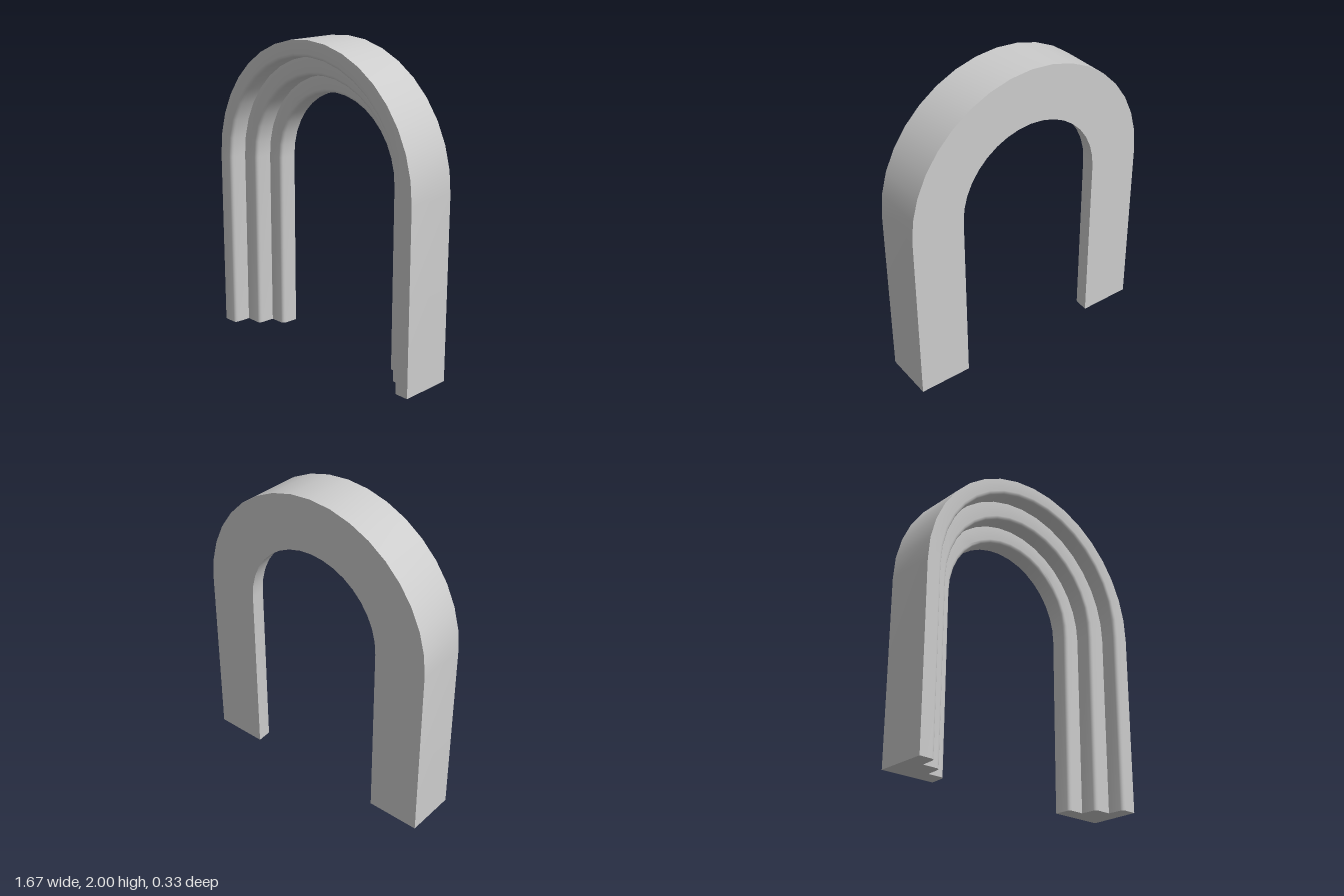
import * as THREE from 'three';
import { toCreasedNormals } from 'three/addons/utils/BufferGeometryUtils.js';

const OUTER = 0.833, BACK = -0.167, FRONT = 0.167;
const SPRING = 2 - OUTER; // height where the legs meet the round arch
const ARC_SEGMENTS = 18;

// Stepped cross-section (radius, z), counter-clockwise, each step with a rounded nose
function makeProfile() {
  const pts = [[0.485, BACK], [OUTER, BACK], [OUTER, FRONT]];
  const round = 0.022, slant = 0.006, drop = (FRONT - BACK) / 3;
  [0.73, 0.607, 0.491].forEach((edge, i) => {
    const z = FRONT - i * drop;
    for (let k = 0; k <= 3; k++) {
      const a = (k / 3) * Math.PI / 2;
      pts.push([edge + round * (1 - Math.sin(a)), z - round * (1 - Math.cos(a))]);
    }
    if (i < 2) pts.push([edge - slant, z - drop]);
  });
  return pts.map(([r, z]) => new THREE.Vector2(r, z));
}

// Sweep the section up one leg, round the arch and down the other leg
function archGeometry() {
  const profile = makeProfile(), n = profile.length;
  const stations = [[0, 0]];
  for (let i = 0; i <= ARC_SEGMENTS; i++) stations.push([i / ARC_SEGMENTS * Math.PI, SPRING]);
  stations.push([Math.PI, 0]);

  const position = [], index = [];
  for (const [angle, y] of stations) {
    for (const p of profile) {
      position.push(p.x * Math.cos(angle), y + p.x * Math.sin(angle), p.y);
    }
  }
  for (let i = 0; i < stations.length - 1; i++) {
    for (let j = 0; j < n; j++) {
      const a = i * n + j, b = i * n + (j + 1) % n;
      index.push(a, a + n, b, b, a + n, b + n);
    }
  }
  // Feet
  const last = (stations.length - 1) * n;
  for (const [a, b, c] of THREE.ShapeUtils.triangulateShape(profile, [])) {
    index.push(a, b, c, last + a, last + c, last + b);
  }

  const geometry = new THREE.BufferGeometry();
  geometry.setAttribute('position', new THREE.Float32BufferAttribute(position, 3));
  geometry.setIndex(index);
  return toCreasedNormals(geometry, 0.65);
}

export function createModel() {
  const stone = new THREE.MeshStandardMaterial({ color: 0xcccccc });
  stone.name = 'pale grey stone';

  const arch = new THREE.Mesh(archGeometry(), stone);
  arch.name = 'steppedArch';

  const model = new THREE.Group();
  model.name = 'archway';
  model.add(arch);
  return model;
}
